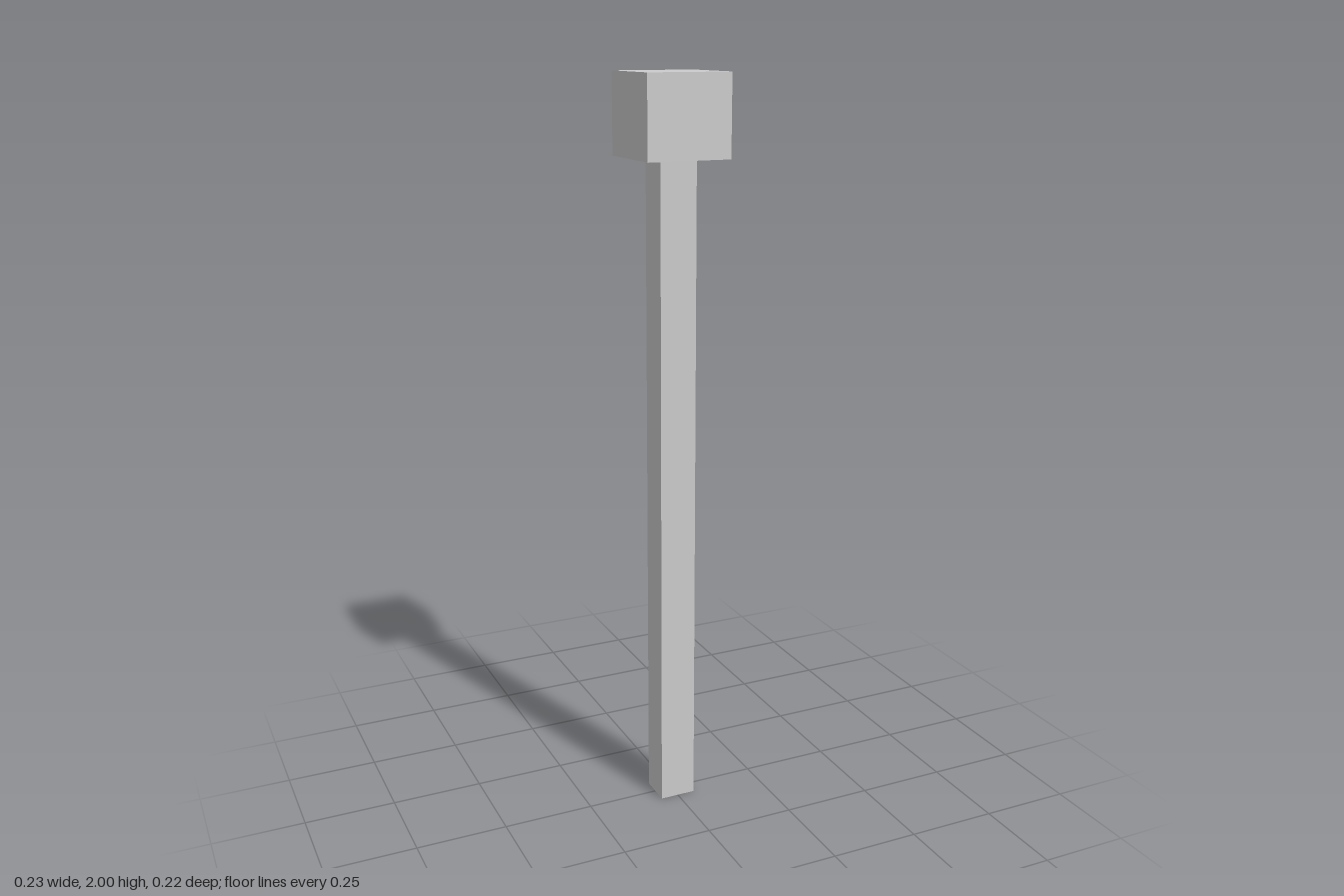
import * as THREE from 'three';

export function createModel() {
  const group = new THREE.Group();
  const material = new THREE.MeshStandardMaterial({ color: 0xcccccc, flatShading: true });

  // Box standing between two heights, centred on the axis
  const addBlock = (name, width, depth, bottom, top) => {
    const mesh = new THREE.Mesh(new THREE.BoxGeometry(width, top - bottom, depth), material);
    mesh.name = name;
    mesh.position.y = (bottom + top) / 2;
    group.add(mesh);
  };

  addBlock('post', 0.1, 0.092, 0, 1.79); // long square shaft
  addBlock('head', 0.227, 0.223, 1.79, 2); // wider block on top

  return group;
}
